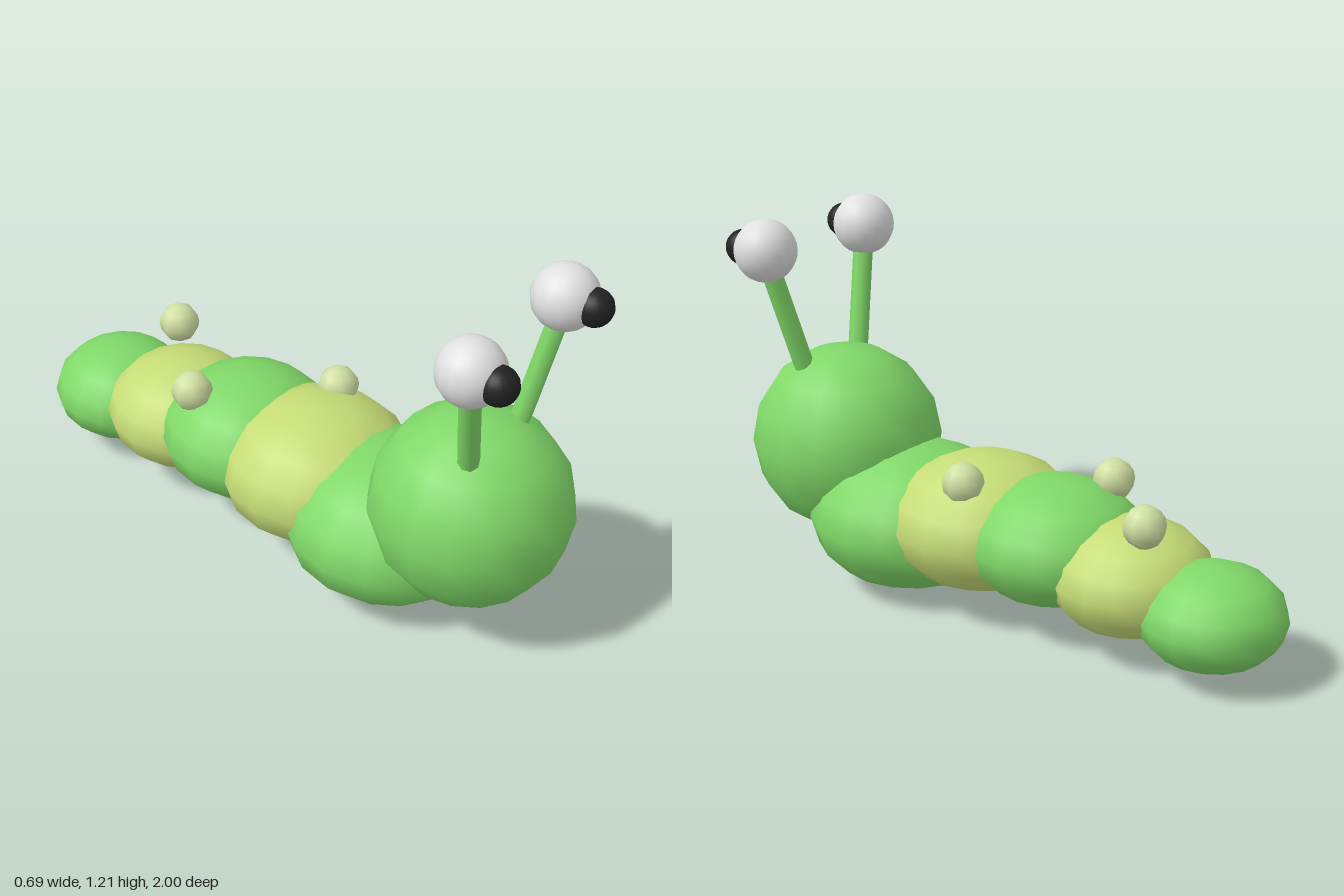
import * as THREE from 'three';

export function createModel() {
  const mat = (name, color) => {
    const m = new THREE.MeshStandardMaterial({ color });
    m.name = name;
    return m;
  };
  const green = mat('leaf green', 0x80d868);
  const lime = mat('yellow green', 0xc6dc76);
  const pale = mat('pale green', 0xd0dfa2);
  const white = mat('eye white', 0xe0e0e0);
  const black = mat('pupil black', 0x222222);

  const model = new THREE.Group();
  model.name = 'caterpillar';

  const ball = (name, material, r, x, y, z, w = 16, h = 8, squash = 1) => {
    const mesh = new THREE.Mesh(new THREE.SphereGeometry(r, w, h), material);
    mesh.name = name;
    mesh.position.set(x, y, z);
    mesh.scale.y = squash;
    model.add(mesh);
    return mesh;
  };

  // Head
  ball('head', green, 0.317, 0, 0.449, 0.681);

  // Flattened body segments, front to tail: radius, y, z
  [
    [0.345, 0.246, 0.39],
    [0.315, 0.297, 0.09],
    [0.288, 0.3, -0.195],
    [0.258, 0.255, -0.48],
    [0.23, 0.205, -0.77],
  ].forEach(([r, y, z], i) =>
    ball(`bodySegment${i + 1}`, i % 2 ? lime : green, r, 0, y, z, 16, 8, 0.695));

  // Bumps along the back
  [[0.172, 0.04], [-0.146, -0.307], [0.115, -0.597]].forEach(([x, z], i) =>
    ball(`bump${i + 1}`, pale, 0.067, x, 0.483, z, 8, 8));

  // Eye stalks, eyeballs and pupils, mirrored
  for (const [side, s] of [['left', 1], ['right', -1]]) {
    const foot = new THREE.Vector3(s * 0.116, 0.66, 0.737);
    const tip = new THREE.Vector3(s * 0.234, 1.1, 0.797);
    const dir = tip.clone().sub(foot);
    const stalk = new THREE.Mesh(new THREE.CylinderGeometry(0.033, 0.033, dir.length(), 8), green);
    stalk.name = `${side}EyeStalk`;
    stalk.position.copy(foot).add(tip).multiplyScalar(0.5);
    stalk.quaternion.setFromUnitVectors(new THREE.Vector3(0, 1, 0), dir.normalize());
    model.add(stalk);

    ball(`${side}Eye`, white, 0.102, s * 0.233, 1.117, 0.797, 16, 16);
    ball(`${side}Pupil`, black, 0.058, s * 0.238, 1.116, 0.89, 16, 16);
  }

  return model;
}
